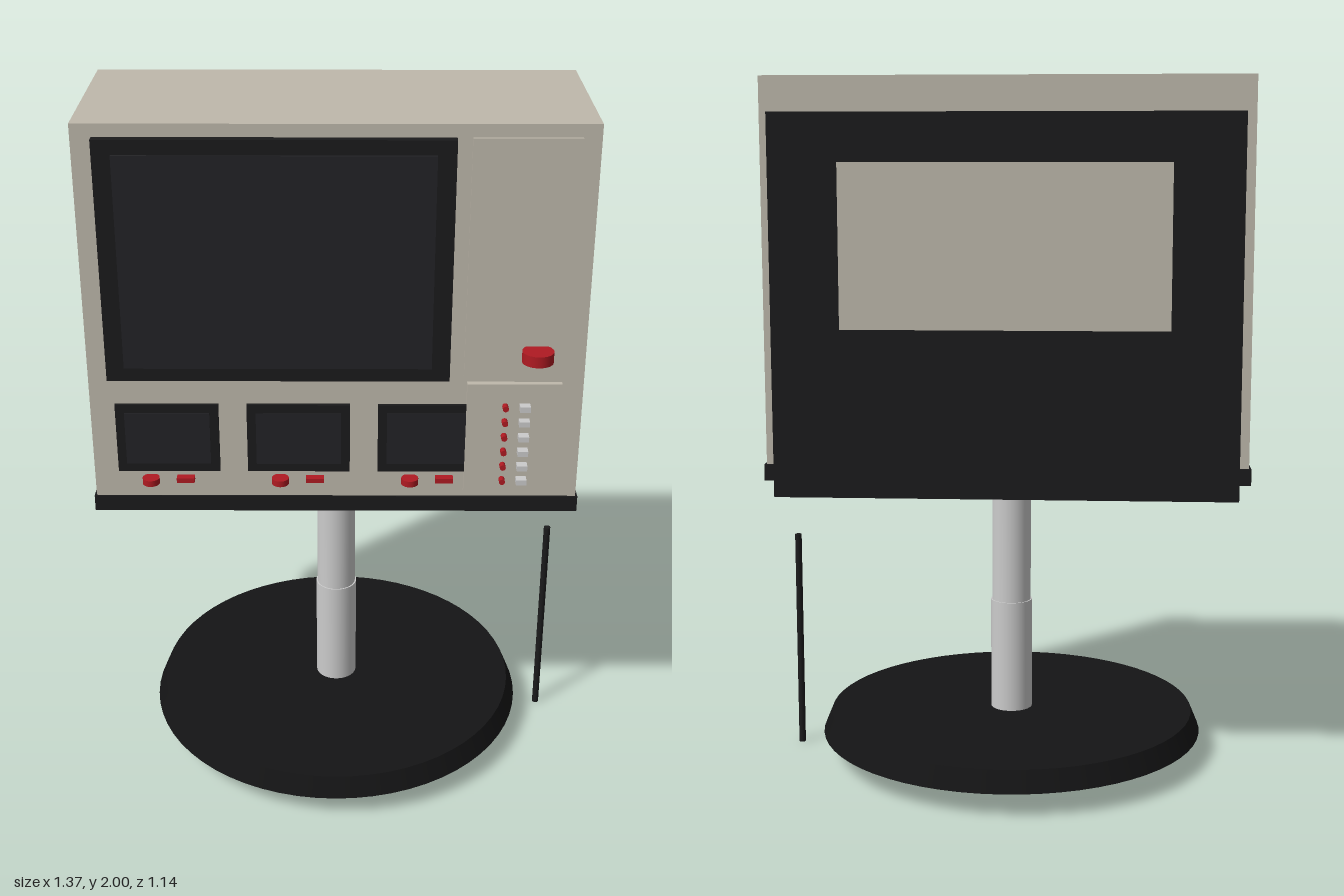
import * as THREE from 'three';

const paint = (color) => new THREE.MeshStandardMaterial({ color });

export function createModel() {
  const model = new THREE.Group();
  const beige = paint(0xbfb9ac), black = paint(0x1b1b1c), glass = paint(0x232326);
  const baseBlack = paint(0x141415), red = paint(0xb01a22), grey = paint(0xcccccc);

  const add = (name, geometry, material, x, y, z) => {
    const mesh = new THREE.Mesh(geometry, material);
    mesh.name = name;
    mesh.position.set(x, y, z);
    model.add(mesh);
    return mesh;
  };
  // Box given by its limits on each axis
  const box = (name, material, [x0, x1], [y0, y1], [z0, z1]) =>
    add(name, new THREE.BoxGeometry(x1 - x0, y1 - y0, z1 - z0), material,
      (x0 + x1) / 2, (y0 + y1) / 2, (z0 + z1) / 2);
  // Upright round part given by its radii and heights
  const round = (name, material, rTop, rBottom, [y0, y1], x = 0, z = 0, sides = 32) =>
    add(name, new THREE.CylinderGeometry(rTop, rBottom, y1 - y0, sides), material, x, (y0 + y1) / 2, z);

  // Stand
  round('base', baseBlack, 0.545, 0.57, [0.07, 0.13], 0, 0, 64);
  round('lowerPole', grey, 0.062, 0.062, [0.072, 0.465]);
  round('upperPole', grey, 0.058, 0.058, [0.465, 0.9]);
  round('sideRod', black, 0.01, 0.01, [0, 0.655], 0.648, 0, 12);

  // Cabinet with its bottom trim and rear cover
  box('cabinet', beige, [-0.68, 0.68], [0.92, 2], [-0.272, 0.275]);
  box('bottomTrim', black, [-0.686, 0.686], [0.873, 0.92], [-0.28, 0.28]);
  box('rearCover', black, [-0.65, 0.65], [0.835, 1.9], [-0.325, -0.245]);
  box('rearPlate', beige, [-0.455, 0.455], [1.31, 1.765], [-0.345, -0.325]);

  // Main screen
  box('mainBezel', black, [-0.625, 0.31], [1.29, 1.965], [0.275, 0.3]);
  box('mainScreen', glass, [-0.575, 0.26], [1.33, 1.925], [0.29, 0.307]);

  // Front panels on the model's left
  box('tallPanel', beige, [0.35, 0.632], [1.295, 1.965], [0.275, 0.283]);
  box('controlPanel', beige, [0.36, 0.62], [0.94, 1.278], [0.275, 0.292]);
  round('largeKnob', red, 0.043, 0.043, [1.355, 1.387], 0.545, 0.312);

  // Three small screens, each with a knob and a slider below
  for (const x of [-0.468, -0.104, 0.26]) {
    box('smallBezel', black, [x - 0.143, x + 0.143], [1.003, 1.21], [0.275, 0.285]);
    box('smallScreen', glass, [x - 0.118, x + 0.118], [1.028, 1.185], [0.28, 0.288]);
    round('smallKnob', red, 0.024, 0.024, [0.97, 0.988], x - 0.052, 0.295, 20);
    box('slider', red, [x + 0.02, x + 0.07], [0.972, 0.986], [0.275, 0.298]);
  }

  // Rows of lamps and push buttons
  for (let i = 0; i < 6; i++) {
    const y = 1.212 - i * 0.0455;
    const lamp = round('lamp', red, 0.0085, 0.0085, [y - 0.012, y + 0.012], 0.466, 0.302, 12);
    lamp.rotation.x = Math.PI / 2;
    box('button', grey, [0.505, 0.534], [y - 0.008, y + 0.008], [0.29, 0.318]);
  }
  return model;
}
